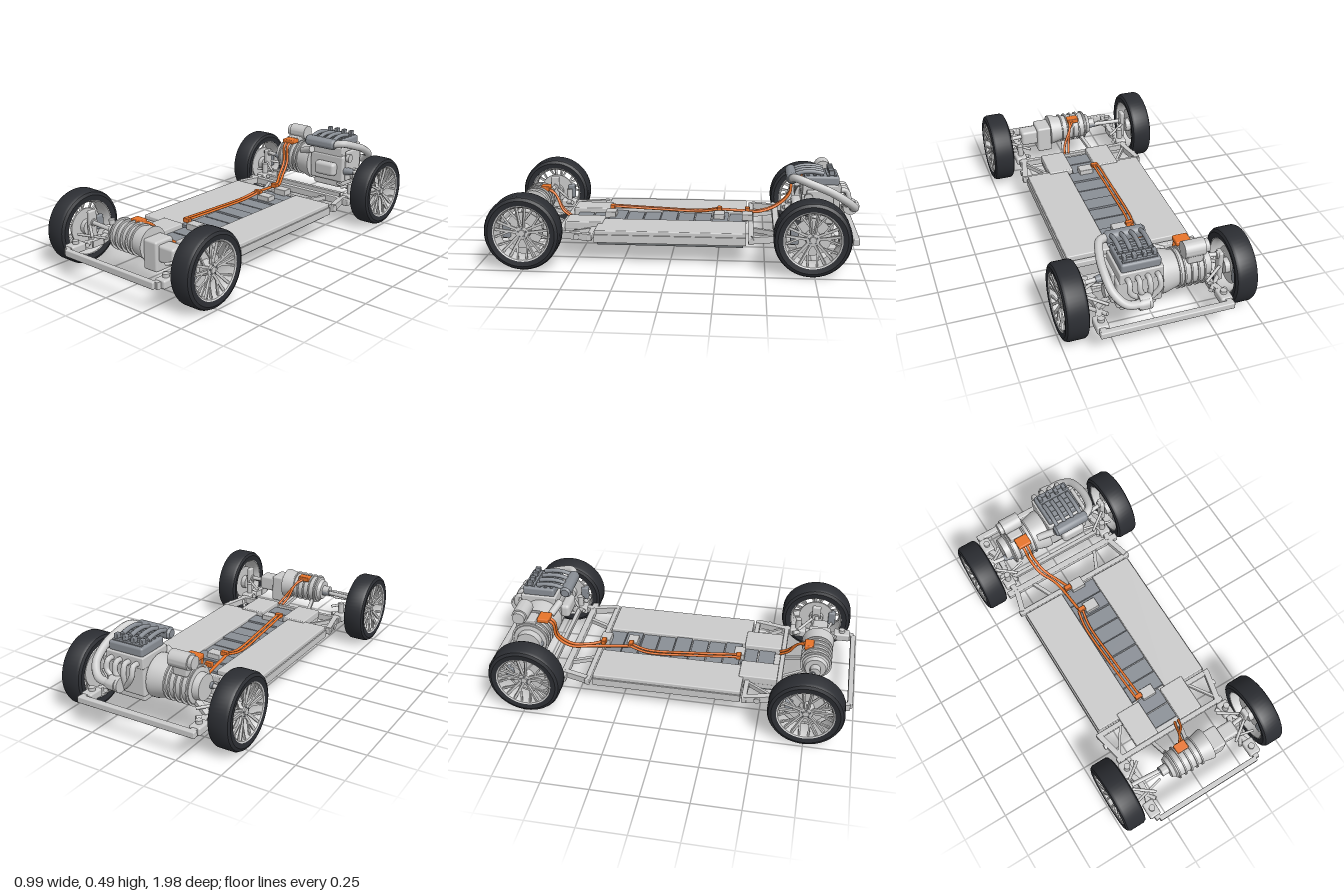
import * as THREE from 'three';
import { RoundedBoxGeometry } from 'three/addons/geometries/RoundedBoxGeometry.js';
import { toCreasedNormals } from 'three/addons/utils/BufferGeometryUtils.js';

const mat = (color) => new THREE.MeshStandardMaterial({ color, side: THREE.DoubleSide });
const GREY = mat(0xcccccc), DARK = mat(0x8a8f96), PLATE = mat(0x6c7072), TYRE = mat(0x2c2e33), ORANGE = mat(0xe8742a);
const V = (p) => new THREE.Vector3(...p);

export function createModel() {
  const root = new THREE.Group();
  root.name = 'vehicleChassis';
  let target = root;

  const add = (name, geo, m = GREY) => {
    const mesh = new THREE.Mesh(geo, m);
    mesh.name = name;
    target.add(mesh);
    return mesh;
  };
  // Box given by its extents on each axis
  const box = (name, x, y, z, m, r = 0) => {
    const s = [x[1] - x[0], y[1] - y[0], z[1] - z[0]];
    const geo = r ? new RoundedBoxGeometry(...s, 2, r) : new THREE.BoxGeometry(...s);
    return add(name, geo.translate((x[0] + x[1]) / 2, (y[0] + y[1]) / 2, (z[0] + z[1]) / 2), m);
  };
  // Rectangular bar and round rod between two points
  const between = (mesh, a, b) => {
    mesh.position.copy(V(a)).add(V(b)).multiplyScalar(0.5);
    mesh.lookAt(V(b));
    return mesh;
  };
  const bar = (name, a, b, w, h, m) =>
    between(add(name, new THREE.BoxGeometry(w, h, V(a).distanceTo(V(b))), m), a, b);
  const rod = (name, a, b, r, m, r2 = r) =>
    between(add(name, new THREE.CylinderGeometry(r2, r, V(a).distanceTo(V(b)), 16).rotateX(Math.PI / 2), m), a, b);
  const tube = (name, pts, r, m, n = 32) =>
    add(name, new THREE.TubeGeometry(new THREE.CatmullRomCurve3(pts.map(V)), n, r, 10), m);
  // Turned part around the x axis; profile points are [radius, x]
  const turned = (name, profile, y, z, m, seg = 40) => {
    const geo = new THREE.LatheGeometry(profile.map((p) => new THREE.Vector2(...p)), seg);
    return add(name, toCreasedNormals(geo.rotateZ(-Math.PI / 2), 0.6).translate(0, y, z), m);
  };
  const both = (fn) => [1, -1].forEach(fn);

  // Wheels: outer face towards local +x
  const makeWheel = () => {
    const wheel = target = new THREE.Group();
    wheel.name = 'wheel';
    turned('tyre', [[0.147, -0.055], [0.175, -0.06], [0.19, -0.053], [0.197, -0.04], [0.197, 0.04], [0.19, 0.053],
      [0.175, 0.06], [0.147, 0.055], [0.142, 0.04], [0.142, -0.04], [0.147, -0.055]], 0, 0, TYRE, 56);
    turned('rimBarrel', [[0.149, -0.055], [0.143, -0.053], [0.132, -0.03], [0.132, 0.03], [0.142, 0.053],
      [0.149, 0.057]], 0, 0, GREY, 56);
    turned('hub', [[0, -0.05], [0.04, -0.05], [0.04, 0.02], [0.034, 0.036], [0.018, 0.038], [0.016, 0.044], [0, 0.044]], 0, 0);
    turned('brakeDisc', [[0, -0.022], [0.098, -0.022], [0.098, -0.012], [0, -0.012]], 0, 0);
    box('brakeCaliper', [-0.035, 0.002], [-0.04, 0.04], [0.07, 0.112], DARK, 0.008);
    for (let i = 0; i < 5; i++) {
      const a = (i / 5) * Math.PI * 2;
      const p = (t, r, x) => [x, Math.cos(t) * r, Math.sin(t) * r];
      both((s) => {
        bar('spoke', p(a + s * 0.3, 0.026, 0.028), p(a + s * 0.16, 0.139, 0.046), 0.012, 0.013);
        bar('spokeBranch', p(a + s * 0.25, 0.07, 0.034), p(a + s * 0.46, 0.139, 0.046), 0.009, 0.01);
      });
      rod('wheelNut', p(a, 0.023, 0.03), p(a, 0.023, 0.042), 0.004, DARK);
    }
    target = root;
    return wheel;
  };
  for (const z of [0.75, -0.735]) both((s) => {
    const wheel = makeWheel();
    wheel.position.set(s * 0.435, 0.2, z);
    if (s < 0) wheel.rotation.y = Math.PI;
    root.add(wheel);
  });

  // Battery pack with a recessed centre channel
  box('underPlate', [-0.32, 0.32], [0.1, 0.118], [-0.385, 0.385], PLATE);
  box('batteryTray', [-0.335, 0.335], [0.116, 0.15], [-0.4, 0.4]);
  box('frontUnderPlate', [-0.2, 0.2], [0.108, 0.122], [0.385, 0.575], PLATE);
  box('frontTray', [-0.205, 0.205], [0.12, 0.15], [0.38, 0.58]);
  both((s) => {
    box('batteryCover', [s * 0.22 - 0.118, s * 0.22 + 0.118], [0.145, 0.182], [-0.4, 0.4], GREY, 0.006);
    box('frontBatteryCover', [s * 0.14 - 0.07, s * 0.14 + 0.07], [0.145, 0.19], [0.375, 0.58], GREY, 0.006);
    box('sideSill', [s * 0.335 - 0.01, s * 0.335 + 0.01], [0.118, 0.16], [-0.4, 0.4]);
  });
  for (let i = 0; i < 10; i++) {
    const z = -0.35 + i * 0.095;
    const w = z > 0.37 ? 0.068 : 0.1;
    box('batteryModule', [-w, w], [0.148, i % 3 === 1 ? 0.172 : 0.165], [z - 0.045, z + 0.043], DARK);
  }
  for (const z of [-0.405, -0.25, 0.355]) {
    box('junctionBox', [-0.04, 0.04], [0.165, 0.2], [z - 0.03, z + 0.03], GREY, 0.004);
    box('cableConnector', [-0.078, -0.036], [0.192, 0.218], [z - 0.013, z + 0.013], ORANGE, 0.004);
  }

  // Cross members and bumper beams
  box('frontBumperBeam', [-0.31, 0.31], [0.13, 0.168], [0.957, 0.985], GREY, 0.006);
  box('rearBumperBeam', [-0.345, 0.345], [0.135, 0.17], [-0.985, -0.952], GREY, 0.006);
  box('frontCrossMember', [-0.34, 0.34], [0.13, 0.168], [0.578, 0.605], GREY, 0.005);
  box('rearCrossMember', [-0.365, 0.365], [0.13, 0.168], [-0.58, -0.545], GREY, 0.005);
  box('rearPackMember', [-0.365, 0.365], [0.13, 0.165], [-0.44, -0.412], GREY, 0.005);

  // Frame rails, mounts and suspension
  both((s) => {
    box('frontPackMember', s > 0 ? [0.2, 0.365] : [-0.365, -0.2], [0.13, 0.165], [0.408, 0.435], GREY, 0.005);
    const rail = (name, pts, y) => {
      for (let i = 1; i < pts.length; i++) {
        const [a, b] = [pts[i - 1], pts[i]];
        bar(name, [s * a[0], y, a[1]], [s * b[0], y, b[1]], 0.03, 0.036);
      }
    };
    rail('frontRail', [[0.35, 0.42], [0.31, 0.6], [0.325, 0.67], [0.297, 0.75], [0.297, 0.82], [0.325, 0.89], [0.312, 0.97]], 0.15);
    rail('rearRail', [[0.345, -0.43], [0.31, -0.56], [0.325, -0.65], [0.297, -0.73], [0.297, -0.81], [0.325, -0.88], [0.325, -0.97]], 0.152);
    bar('frontBrace', [s * 0.22, 0.15, 0.43], [s * 0.32, 0.15, 0.58], 0.014, 0.024);
    bar('rearBrace', [s * 0.21, 0.15, -0.56], [s * 0.15, 0.15, -0.43], 0.02, 0.024);
    rod('bodyMount', [s * 0.36, 0.15, 0.49], [s * 0.325, 0.15, 0.49], 0.016);
    for (const z of [0.655, 0.905, -0.645, -0.9]) {
      box('mountPad', [s * 0.32 - 0.032, s * 0.32 + 0.032], [0.13, 0.175], [z - 0.045, z + 0.045], GREY, 0.01);
      const tall = Math.abs(z) < 0.7 ? 0.235 : 0.192;
      rod('mountBushing', [s * 0.318, 0.17, z], [s * 0.318, tall, z], 0.017);
    }
    for (const zc of [0.75, -0.735]) {
      box('uprightKnuckle', [s * 0.366 - 0.013, s * 0.366 + 0.013], [0.13, 0.3], [zc - 0.025, zc + 0.025], GREY, 0.008);
      both((t) => {
        rod('lowerArm', [s * 0.365, 0.145, zc], [s * 0.27, 0.165, zc + t * 0.12], 0.011);
        rod('upperArm', [s * 0.365, 0.22, zc + t * 0.015], [s * 0.255, 0.2, zc + t * 0.095], 0.008);
      });
      rod('tieRod', [s * 0.375, 0.19, zc + 0.09], [s * 0.2, 0.2, zc + 0.05], 0.007);
      const y = zc > 0 ? 0.235 : 0.28;
      const inner = zc > 0 ? (s > 0 ? 0.18 : 0.12) : 0.22;
      rod('driveShaft', [s * inner, y, zc + 0.02], [s * 0.39, y, zc], 0.012);
      rod('shaftBoot', [s * (inner + 0.07), y, zc + 0.012], [s * inner, y, zc + 0.02], 0.016, DARK, 0.027);
      rod('outerShaftJoint', [s * 0.345, y, zc], [s * 0.375, y, zc], 0.02);
    }
  });

  // Ribbed motor housing: a base cylinder with raised rings
  const rings = (name, xs, r, y, z) => xs.forEach((x) =>
    turned(name, [[r - 0.01, x - 0.004], [r, x - 0.004], [r, x + 0.004], [r - 0.01, x + 0.004]], y, z));

  // Front electric motor, flared gearbox and differential
  turned('frontMotor', [[0, -0.185], [0.028, -0.185], [0.028, -0.145], [0.055, -0.145], [0.064, -0.125], [0.074, -0.12],
    [0.074, 0.035], [0.088, 0.1], [0.088, 0.108], [0, 0.108]], 0.243, 0.775);
  rings('frontMotorFin', [-0.108, -0.072, -0.036, 0, 0.033], 0.084, 0.243, 0.775);
  box('frontGearbox', [0.1, 0.19], [0.13, 0.288], [0.718, 0.838], GREY, 0.012);
  box('frontDifferential', [0.18, 0.285], [0.18, 0.27], [0.735, 0.82], GREY, 0.015);
  box('frontMotorTerminal', [-0.068, 0], [0.3, 0.328], [0.705, 0.755], ORANGE, 0.005);
  both((t) => bar('frontMotorBracket', [-0.03 + t * 0.09, 0.14, 0.6], [-0.03 + t * 0.06, 0.18, 0.73], 0.02, 0.02));

  // Rear motor generator with its accessory drum
  turned('rearMotor', [[0, -0.275], [0.066, -0.275], [0.07, -0.24], [0.092, -0.235], [0.092, -0.1],
    [0.112, -0.03], [0.112, -0.005], [0, -0.005]], 0.29, -0.77);
  rings('rearMotorFin', [-0.228, -0.195, -0.16, -0.125, -0.1], 0.104, 0.29, -0.77);
  turned('accessoryDrum', [[0, -0.25], [0.034, -0.25], [0.034, -0.228], [0.043, -0.228], [0.043, -0.12], [0, -0.12]], 0.432, -0.82);
  box('accessoryBracket', [-0.22, -0.14], [0.36, 0.41], [-0.85, -0.74], GREY, 0.006);
  box('rearMotorTerminal', [-0.203, -0.125], [0.386, 0.411], [-0.735, -0.67], ORANGE, 0.006);
  rod('transmissionStay', [-0.07, 0.355, -0.7], [0.02, 0.385, -0.67], 0.02);

  // Engine block, head and cover
  box('oilPan', [0.02, 0.21], [0.17, 0.22], [-0.86, -0.7], GREY, 0.012);
  box('engineBlock', [0, 0.235], [0.21, 0.37], [-0.885, -0.685], GREY, 0.012);
  box('cylinderHead', [0, 0.222], [0.36, 0.42], [-0.89, -0.69], GREY, 0.006);
  box('engineCover', [0.01, 0.212], [0.415, 0.465], [-0.88, -0.7], DARK, 0.012);
  box('timingCover', [0.23, 0.25], [0.22, 0.4], [-0.85, -0.71], GREY, 0.008);
  rod('crankPulley', [0.25, 0.25, -0.78], [0.268, 0.25, -0.78], 0.035);
  rod('alternatorPulley', [0.245, 0.36, -0.72], [0.265, 0.36, -0.72], 0.024);
  box('alternator', [0.06, 0.2], [0.25, 0.33], [-0.69, -0.635], GREY, 0.02);
  for (let i = 0; i < 5; i++) box('coverRib', [0.025, 0.2], [0.46, 0.47], [-0.865 + i * 0.035, -0.85 + i * 0.035], DARK);

  // Intake plenum and four runners, exhaust headers at the rear
  turned('intakePlenum', [[0, 0.008], [0.022, 0.008], [0.032, 0.02], [0.032, 0.2], [0.024, 0.212], [0, 0.212]], 0.452, -0.635, DARK, 24);
  for (let i = 0; i < 4; i++) {
    const x = 0.035 + i * 0.05;
    tube('intakeRunner', [[x, 0.465, -0.64], [x, 0.482, -0.69], [x, 0.484, -0.75], [x, 0.475, -0.8]], 0.012, DARK, 14);
    box('coilCap', [x - 0.011, x + 0.011], [0.468, 0.495], [-0.855, -0.825], DARK, 0.004);
    tube('exhaustHeader', [[x, 0.385, -0.88], [x, 0.385, -0.92], [x, 0.34, -0.935],
      [0.1 + (x - 0.11) * 0.4, 0.285, -0.925], [0.11, 0.25, -0.915]], 0.014, GREY, 20);
  }
  rod('turboHousing', [0.09, 0.285, -0.95], [0.15, 0.285, -0.95], 0.04);
  tube('intakePipe', [[0.2, 0.452, -0.635], [0.245, 0.46, -0.66], [0.272, 0.435, -0.74], [0.278, 0.4, -0.83],
    [0.262, 0.345, -0.92], [0.21, 0.3, -0.965], [0.12, 0.288, -0.965]], 0.022, GREY, 48);
  turned('turboInlet', [[0.012, 0.105], [0.03, 0.105], [0.03, 0.14], [0.024, 0.16]], 0.288, -0.968, GREY, 24);
  both((s) => bar('engineMount', [s * 0.19, 0.25, -0.78], [s * 0.3, 0.165, -0.8], 0.035, 0.02));
  box('subframeBeam', [-0.3, 0.3], [0.14, 0.165], [-0.66, -0.635], GREY, 0.004);

  // Paired high-voltage cables
  both((t) => {
    const d = t * 0.012;
    tube('rearMotorCable', [[-0.165 + d, 0.395, -0.69], [-0.165 + d, 0.375, -0.655], [-0.155 + d, 0.28, -0.64],
      [-0.135 + d, 0.215, -0.57], [-0.085 + d, 0.19, -0.47], [-0.058 + d, 0.2, t > 0 ? -0.4 : -0.25]], 0.008, ORANGE, 40);
    tube('packCable', [[-0.066 + d, 0.204, -0.25], [-0.082 + d, 0.186, -0.15], [-0.075 + d, 0.195, 0.1],
      [-0.062 + d, 0.21, 0.35]], 0.007, ORANGE, 40);
    tube('frontMotorCable', [[0.05 + d, 0.178, 0.575], [0.035 + d, 0.21, 0.62], [0, 0.285, 0.67],
      [-0.025 + d, 0.314, 0.72]], 0.007, ORANGE);
  });

  return root;
}
